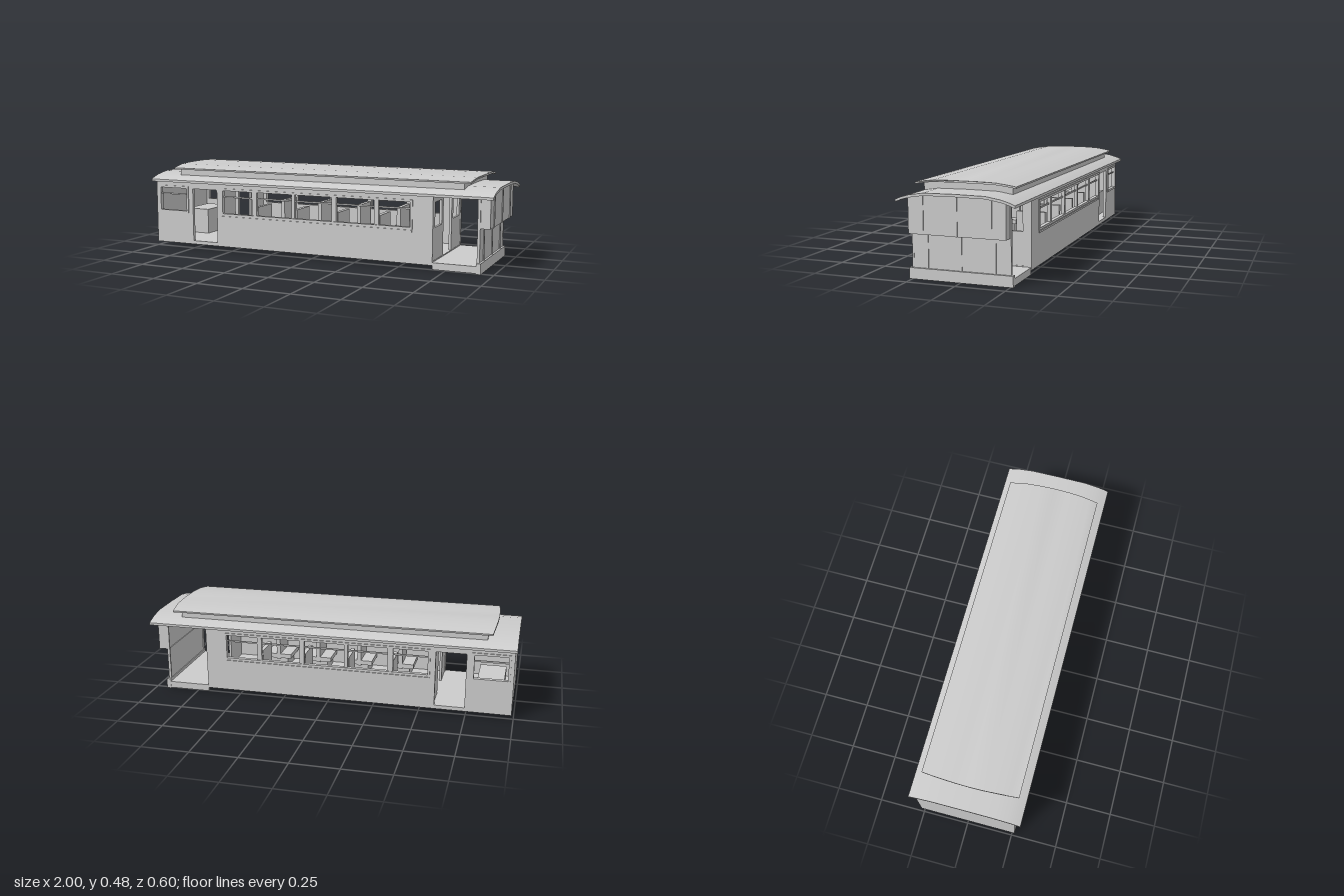
import * as THREE from 'three';
import { toCreasedNormals } from 'three/addons/utils/BufferGeometryUtils.js';

const mat = new THREE.MeshStandardMaterial({ color: 0xcccccc, side: THREE.DoubleSide });

export function createModel() {
  const model = new THREE.Group();

  const add = (name, geo) => {
    const m = new THREE.Mesh(geo, mat);
    m.name = name;
    model.add(m);
    return m;
  };
  // Box given by its limits on each axis
  const box = (name, x0, x1, y0, y1, z0, z1) => {
    const m = add(name, new THREE.BoxGeometry(x1 - x0, y1 - y0, z1 - z0));
    m.position.set((x0 + x1) / 2, (y0 + y1) / 2, (z0 + z1) / 2);
    return m;
  };
  const rect = (x0, x1, y0, y1, Type = THREE.Path) => {
    const p = new Type();
    p.moveTo(x0, y0);
    p.lineTo(x1, y0);
    p.lineTo(x1, y1);
    p.lineTo(x0, y1);
    p.closePath();
    return p;
  };
  // Half a section [z, y] from the centre outwards, mirrored to a full line
  const mirrored = (half) => [
    ...half.slice(1).reverse().map(([z, y]) => [-z, y]),
    ...half,
  ];
  // Closed section between an upper and a lower line, swept along x
  const sweep = (upper, lower, x0, x1) => {
    const pts = [...mirrored(upper), ...mirrored(lower).reverse()];
    const shape = new THREE.Shape(pts.map(([z, y]) => new THREE.Vector2(z, y)));
    const g = new THREE.ExtrudeGeometry(shape, { depth: x1 - x0, bevelEnabled: false });
    g.rotateY(-Math.PI / 2);
    g.translate(x1, 0, 0);
    return g;
  };

  // Main roof
  const roofUnder = [[0, 0.418], [0.155, 0.416], [0.23, 0.404], [0.268, 0.393], [0.298, 0.381]];
  const roofTop = [[0, 0.431], [0.155, 0.429], [0.23, 0.417], [0.268, 0.406], [0.298, 0.394]];
  add('mainRoof', toCreasedNormals(sweep(roofTop, roofUnder, -1, 1), 0.5));

  // Raised upper deck and its overhanging roof with slightly bowed ends
  add('clerestory', sweep(
    [[0, 0.467], [0.155, 0.464], [0.228, 0.458]],
    [[0, 0.425], [0.155, 0.422], [0.228, 0.411]], -0.845, 0.835));
  const upper = sweep(
    [[0, 0.478], [0.08, 0.4775], [0.16, 0.475], [0.21, 0.468], [0.258, 0.46]],
    [[0, 0.468], [0.08, 0.4675], [0.16, 0.465], [0.21, 0.459], [0.256, 0.451]], -0.887, 0.89);
  const p = upper.attributes.position;
  for (let i = 0; i < p.count; i++) {
    const inset = 0.016 * Math.pow(Math.abs(p.getZ(i)) / 0.258, 2);
    p.setX(i, p.getX(i) - Math.sign(p.getX(i)) * inset);
  }
  add('upperRoof', toCreasedNormals(upper, 0.5));

  // Floor and closed end wall
  box('floor', -0.99, 0.685, 0.025, 0.045, -0.264, 0.264);
  add('closedEndWall', sweep(
    [[0, 0.42], [0.155, 0.418], [0.23, 0.406], [0.265, 0.395]],
    [[0, 0.025], [0.265, 0.025]], -0.99, -0.975));

  // Side walls with window and door openings
  const windows = [
    [-0.96, -0.785], [-0.545, -0.36], [-0.33, -0.115],
    [-0.095, 0.125], [0.15, 0.365], [0.39, 0.565],
  ];
  const wall = rect(-0.99, 0.685, 0.025, 0.396, THREE.Shape);
  for (const [a, b] of windows) wall.holes.push(rect(a, b, 0.215, 0.345));
  wall.holes.push(rect(-0.745, -0.585, 0.045, 0.345));
  const wallGeo = new THREE.ExtrudeGeometry(wall, { depth: 0.018, bevelEnabled: false });

  for (const s of [1, -1]) {
    const side = (name, x0, x1, y0, y1, za, zb) =>
      box(name, x0, x1, y0, y1, Math.min(s * za, s * zb), Math.max(s * za, s * zb));

    add('sideWall', wallGeo).position.z = s > 0 ? 0.247 : -0.265;

    // Sash rails and raised window surrounds
    for (const [a, b] of windows) side('sashRail', a, b, 0.305, 0.313, 0.25, 0.258);
    for (const [a, b] of [[-0.96, -0.785], [-0.545, 0.565]]) {
      side('windowHead', a - 0.012, b + 0.012, 0.345, 0.357, 0.263, 0.27);
      side('windowSill', a - 0.012, b + 0.012, 0.203, 0.215, 0.263, 0.27);
      side('windowJamb', a - 0.012, a, 0.215, 0.345, 0.263, 0.27);
      side('windowJamb', b, b + 0.012, 0.215, 0.345, 0.263, 0.27);
    }
    side('beltRail', -0.555, 0.575, 0.19, 0.2, 0.263, 0.27);

    // Seats, back to back at the window posts
    for (const x of [-0.345, -0.105, 0.1375, 0.3775]) {
      side('seatBack', x - 0.011, x + 0.011, 0.1, 0.26, 0.08, 0.235);
      side('seatCushion', x - 0.075, x + 0.075, 0.105, 0.13, 0.08, 0.24);
      side('seatBase', x - 0.05, x + 0.05, 0.045, 0.105, 0.1, 0.23);
    }
    // Partition beside the side door
    side('partition', -0.58, -0.567, 0.045, 0.395, 0.09, 0.247);
    // Platform edge sill
    side('platformSill', 0.685, 0.92, 0.004, 0.04, 0.245, 0.264);
    // Corner posts of the open end
    side('cornerPost', 0.912, 0.926, 0.04, 0.396, 0.243, 0.252);
  }
  box('cabBench', -0.94, -0.8, 0.045, 0.19, -0.2, 0.02);

  // Bulkhead with a doorway and two windows, facing the open platform
  const bulk = rect(-0.25, 0.25, 0.03, 0.4, THREE.Shape);
  bulk.holes.push(rect(-0.075, 0.075, 0.045, 0.36));
  for (const s of [1, -1]) {
    bulk.holes.push(rect(Math.min(s * 0.105, s * 0.22), Math.max(s * 0.105, s * 0.22), 0.215, 0.345));
  }
  const bulkGeo = new THREE.ExtrudeGeometry(bulk, { depth: 0.014, bevelEnabled: false });
  bulkGeo.rotateY(-Math.PI / 2);
  add('bulkhead', bulkGeo).position.x = 0.683;

  // Open platform and end beam
  box('platformFloor', 0.685, 0.92, 0.028, 0.04, -0.25, 0.25);
  box('endBeam', 0.912, 0.936, 0, 0.055, -0.265, 0.265);

  // End screen: thin lower panel, projecting upper panel, upright battens
  box('lowerEndPanel', 0.918, 0.925, 0.05, 0.23, -0.248, 0.248);
  add('upperEndPanel', sweep(
    [[0, 0.42], [0.155, 0.418], [0.23, 0.406], [0.246, 0.4]],
    [[0, 0.228], [0.246, 0.228]], 0.922, 0.975));
  for (const z of [-0.172, 0, 0.172]) {
    box('lowerBatten', 0.923, 0.929, 0.055, 0.228, z - 0.006, z + 0.006);
    box('upperBatten', 0.973, 0.979, 0.228, 0.415, z - 0.006, z + 0.006);
  }

  return model;
}
